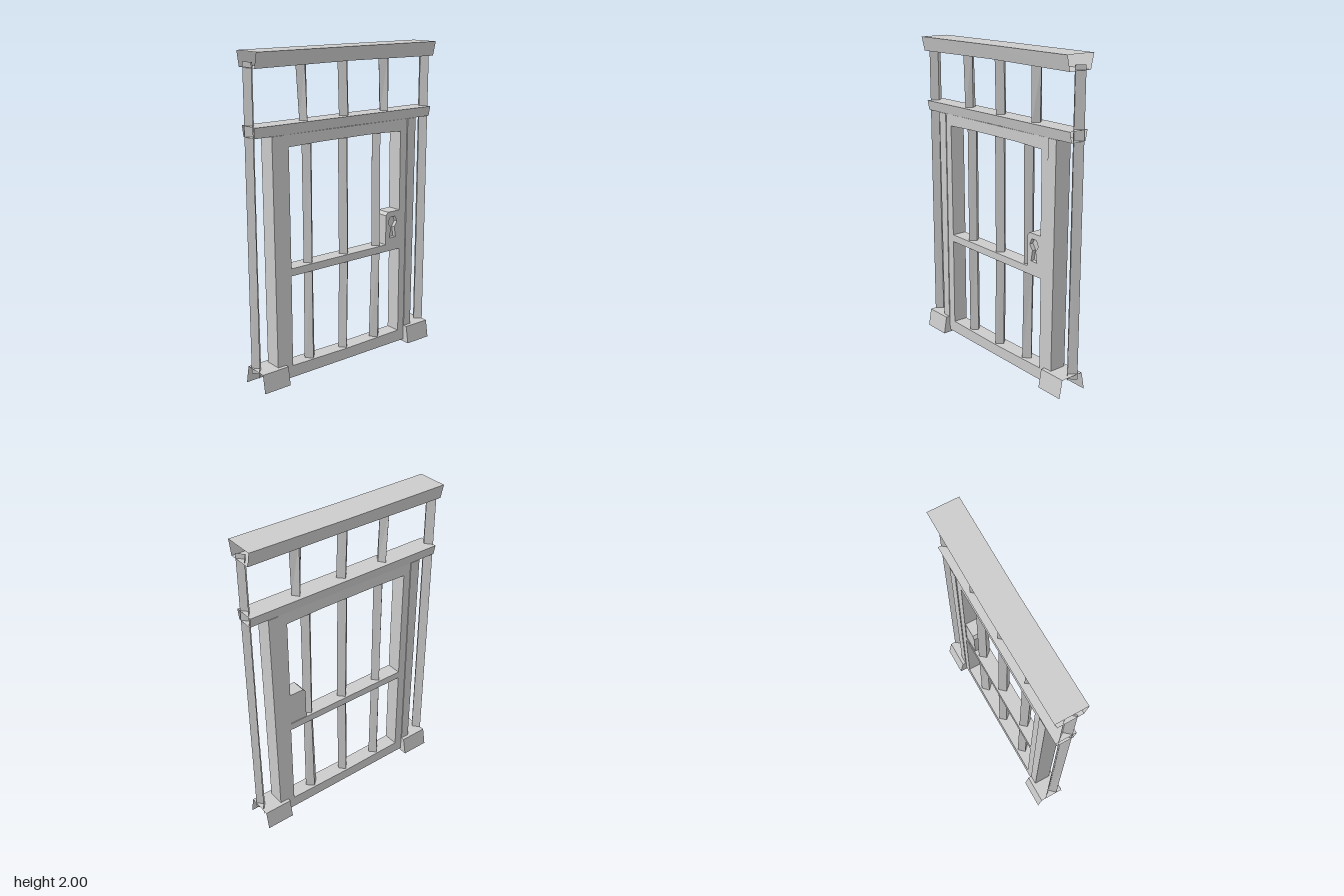
import * as THREE from 'three';

const mat = new THREE.MeshStandardMaterial({ color: 0xcccccc, flatShading: true, side: THREE.DoubleSide });

function add(parent, name, geometry) {
  const mesh = new THREE.Mesh(geometry, mat);
  mesh.name = name;
  parent.add(mesh);
  return mesh;
}

function outline(points, Type = THREE.Shape) {
  return new Type(points.map(([u, v]) => new THREE.Vector2(u, v)));
}

// Panel drawn in the door plane (u = -z, v = y), extruded along x from x0 to x1
function panel(points, x0, x1, holes = []) {
  const shape = outline(points);
  shape.holes = holes.map((h) => outline(h, THREE.Path));
  const g = new THREE.ExtrudeGeometry(shape, { depth: x1 - x0, bevelEnabled: false });
  return g.translate(0, 0, x0).rotateY(Math.PI / 2);
}

const rect = (u0, v0, u1, v1) => [[u0, v0], [u1, v0], [u1, v1], [u0, v1]];

// Skin joining cross-sections (arrays of [x, y, z]); closed wraps each section round
function loft(sections, closed = true) {
  const n = sections[0].length;
  const index = [];
  for (let s = 0; s < sections.length - 1; s++) {
    for (let i = 0; i < (closed ? n : n - 1); i++) {
      const a = s * n + i, b = s * n + (i + 1) % n;
      index.push(a, b, b + n, a, b + n, a + n);
    }
  }
  const g = new THREE.BufferGeometry();
  g.setAttribute('position', new THREE.Float32BufferAttribute(sections.flat(2), 3));
  g.setIndex(index);
  const flat = g.toNonIndexed();
  flat.computeVertexNormals();
  return flat;
}

// Open-ended trapezoid tube running along z, bowed slightly in the middle
function channel(y0, y1, halfBottom, halfTop, bow) {
  return loft([-0.67, 0, 0.67].map((z) => {
    const b = z === 0 ? bow : 0;
    return [[-halfBottom - b, y0 + b, z], [halfBottom - b, y0 + b, z], [halfTop - b, y1, z], [-halfTop - b, y1, z]];
  }));
}

// Diamond bar through sections [y, z centre, half width]
function bar(sections) {
  return loft(sections.map(([y, z, w]) => [[0.04, y, z], [0, y, z - w], [-0.04, y, z], [0, y, z + w]]));
}

export function createModel() {
  const group = new THREE.Group();

  // Horizontal beams
  add(group, 'topBeam', channel(1.91, 2.0, 0.077, 0.098, 0.006));
  add(group, 'transom', channel(1.525, 1.588, 0.052, 0.065, 0.002));

  for (const s of [1, -1]) {
    const side = s > 0 ? 'left' : 'right';

    // Outer post: a V-shaped channel, open outwards
    add(group, side + 'Post', loft([[0.08, 0.63], [0.8, 0.634], [1.94, 0.632]].map(([y, z]) =>
      [[-0.045, y, s * 0.668], [0, y, s * z], [0.041, y, s * 0.668]]), false));

    // Jamb beside the door
    add(group, side + 'Jamb', panel(
      [[-s * 0.485, 0.1], [-s * 0.543, 0.1], [-s * 0.552, 1.525], [-s * 0.485, 1.525]], -0.055, 0.055));

    // Tapered foot, open below and at its outer end
    const foot = new THREE.Group();
    foot.name = side + 'Foot';
    const profile = (z) => [[-0.1, 0, z], [-0.077, 0.115, z], [0.08, 0.115, z], [0.1, 0, z]];
    add(foot, 'footShell', loft([profile(s * 0.485), profile(s * 0.67)], false));
    const cap = outline([[-0.1, 0], [0.1, 0], [0.08, 0.115], [-0.077, 0.115]]);
    add(foot, 'footInnerEnd', new THREE.ShapeGeometry(cap)).position.z = s * 0.485;
    if (s < 0) foot.children[1].rotation.y = 0;
    group.add(foot);
  }

  // Door frame with two openings
  const door = new THREE.Group();
  door.name = 'door';
  group.add(door);
  add(door, 'doorFrame', panel(
    [[-0.485, 0.018], [0.485, 0.015], [0.482, 1.525], [-0.485, 1.525]], -0.05, 0.05,
    [
      [[-0.43, 0.095], [0, 0.088], [0.435, 0.093], [0.435, 0.673], [-0.43, 0.673]],
      [[-0.43, 0.72], [0.43, 0.72], [0.428, 1.45], [0.2, 1.458], [-0.2, 1.458], [-0.435, 1.452]],
    ]));

  // Lock case with a sunken keyhole on the +x face
  const caseOutline = [[0.315, 0.715], [0.435, 0.715], [0.435, 0.935], [0.333, 0.935], [0.315, 0.915]];
  const keyhole = [[0.353, 0.9], [0.393, 0.9], [0.41, 0.863], [0.388, 0.828], [0.4, 0.76],
    [0.348, 0.76], [0.36, 0.828], [0.335, 0.863]];
  add(door, 'lockCase', panel(caseOutline, -0.045, 0.025));
  add(door, 'lockPlate', panel(caseOutline, 0.025, 0.05, [keyhole]));

  // Vertical bars of the door, running behind the middle rail, then those above
  const bars = [
    [[0.07, 0.267, 0.038], [0.7, 0.27, 0.034], [1.47, 0.272, 0.036]],
    [[0.07, 0, 0.035], [0.7, -0.006, 0.037], [1.47, 0, 0.037]],
    [[0.07, -0.264, 0.042], [0.7, -0.272, 0.034], [1.47, -0.267, 0.035]],
  ];
  bars.forEach((b) => add(door, 'doorBar', bar(b)));
  const upperBars = [
    [[1.57, 0.293, 0.028], [1.93, 0.308, 0.037]],
    [[1.57, -0.008, 0.037], [1.93, 0.003, 0.037]],
    [[1.57, -0.328, 0.03], [1.93, -0.322, 0.042]],
  ];
  upperBars.forEach((b) => add(group, 'upperBar', bar(b)));

  return group;
}
